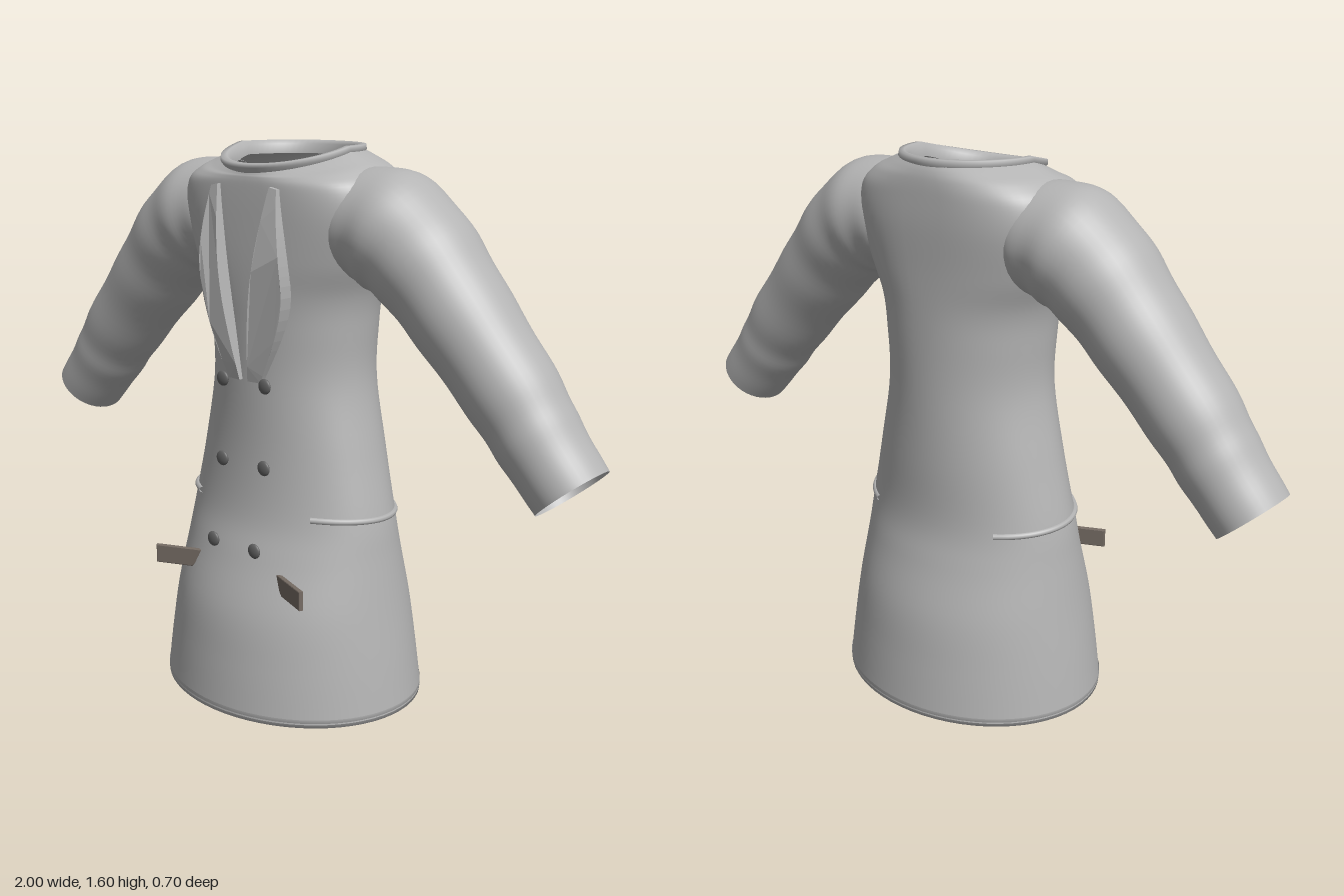
import * as THREE from 'three';

const SEG = 64;

// Catmull-Rom sampling of a table of section rows
function sample(rows, count) {
  const out = [];
  for (let k = 0; k <= count; k++) {
    const f = (k / count) * (rows.length - 1);
    const i = Math.min(Math.floor(f), rows.length - 2), t = f - i;
    const [p, a, b, q] = [rows[Math.max(i - 1, 0)], rows[i], rows[i + 1], rows[Math.min(i + 2, rows.length - 1)]];
    out.push(a.map((v, c) => 0.5 * (2 * v + (b[c] - p[c]) * t
      + (2 * p[c] - 5 * v + 4 * b[c] - q[c]) * t * t
      + (3 * v - p[c] - 3 * b[c] + q[c]) * t * t * t)));
  }
  return out;
}

// Skin a list of closed rings with smooth normals
function loft(rings, flip = false) {
  const n = rings[0].length, pos = [], index = [];
  rings.forEach(r => r.forEach(p => pos.push(p[0], p[1], p[2])));
  for (let j = 0; j < rings.length - 1; j++) {
    for (let i = 0; i < n; i++) {
      const a = j * n + i, b = j * n + (i + 1) % n, c = a + n, d = b + n;
      if (flip) index.push(a, b, c, b, d, c);
      else index.push(a, c, b, b, c, d);
    }
  }
  const g = new THREE.BufferGeometry();
  g.setAttribute('position', new THREE.Float32BufferAttribute(pos, 3));
  g.setIndex(index);
  g.computeVertexNormals();
  return g;
}

// Body section: height, half width, front depth, back depth, squareness, dip at the front
function bodyRing([y, w, zf, zb, n, dip]) {
  const pts = [];
  for (let i = 0; i < SEG; i++) {
    const a = (i / SEG) * Math.PI * 2, c = Math.cos(a), s = Math.sin(a);
    const x = w * Math.sign(c) * Math.abs(c) ** (2 / n);
    const z = (s > 0 ? zf : zb) * Math.sign(s) * Math.abs(s) ** (2 / n);
    pts.push([x, y - dip * Math.max(0, s), z]);
  }
  return pts;
}

const BODY = [
  [0.01, 0.413, 0.35, 0.347, 2, 0],
  [0.15, 0.395, 0.335, 0.33, 2, 0],
  [0.3, 0.373, 0.312, 0.308, 2, 0],
  [0.45, 0.352, 0.26, 0.265, 2, 0],
  [0.57, 0.335, 0.222, 0.238, 2, 0],
  [0.75, 0.293, 0.203, 0.235, 2, 0],
  [0.95, 0.251, 0.2, 0.232, 2, 0],
  [1.1, 0.252, 0.203, 0.23, 2.1, 0],
  [1.2, 0.265, 0.206, 0.228, 2.2, 0],
  [1.3, 0.3, 0.206, 0.226, 2.5, 0],
  [1.42, 0.33, 0.202, 0.225, 2.8, 0],
  [1.5, 0.322, 0.198, 0.22, 2.8, 0.005],
  [1.545, 0.285, 0.195, 0.215, 2.5, 0.025],
  [1.57, 0.24, 0.192, 0.208, 2.2, 0.042],
  [1.588, 0.2, 0.188, 0.198, 2, 0.05],
];

// Front surface depth of the body at x, y
function frontZ(x, y) {
  let i = 0;
  while (i < BODY.length - 2 && BODY[i + 1][0] < y) i++;
  const t = (y - BODY[i][0]) / (BODY[i + 1][0] - BODY[i][0]);
  const r = BODY[i].map((v, c) => v + (BODY[i + 1][c] - v) * t);
  return r[2] * Math.max(0, 1 - (Math.abs(x) / r[1]) ** r[4]) ** (1 / r[4]);
}

// Sleeve section: centre x, centre y, half height, half depth, tilt
const SLEEVE = [
  [0.24, 1.395, 0.15, 0.165, 0],
  [0.34, 1.385, 0.166, 0.176, 0.3],
  [0.45, 1.31, 0.152, 0.166, 0.7],
  [0.58, 1.17, 0.136, 0.148, 0.85],
  [0.74, 0.99, 0.124, 0.132, 0.89],
  [0.83, 0.875, 0.113, 0.122, 0.87],
  [0.92, 0.77, 0.106, 0.114, 0.85],
];

function sleeveGeometry(side) {
  const rings = sample(SLEEVE, 48).map(([cx, cy, h, d, tilt], k) => {
    const fold = 1 + 0.012 * Math.sin(k * 0.85) * Math.min(1, (48 - k) / 10);
    const pts = [];
    for (let i = 0; i < 40; i++) {
      const a = (i / 40) * Math.PI * 2, u = h * fold * Math.cos(a);
      pts.push([side * (cx + u * Math.sin(tilt)), cy + u * Math.cos(tilt), d * fold * Math.sin(a) - 0.015]);
    }
    return pts;
  });
  return loft(rings, side > 0);
}

// Lapel plate bent onto the chest, thickest in the middle
function lapelGeometry(side) {
  const s = new THREE.Shape();
  s.moveTo(side * 0.015, 0.96);
  s.lineTo(side * 0.06, 0.96);
  s.bezierCurveTo(side * 0.09, 1.03, side * 0.15, 1.13, side * 0.15, 1.24);
  s.bezierCurveTo(side * 0.15, 1.33, side * 0.13, 1.42, side * 0.12, 1.495);
  s.lineTo(side * 0.095, 1.5);
  for (let i = 1; i < 12; i++) s.lineTo(side * (0.095 - 0.08 * i / 12), 1.5 - 0.54 * i / 12);
  const g = new THREE.ExtrudeGeometry(s, { depth: 1, bevelEnabled: false, curveSegments: 10 });
  const p = g.attributes.position;
  for (let i = 0; i < p.count; i++) {
    const x = p.getX(i), y = p.getY(i);
    const lift = 0.012 + 0.03 * Math.sin(Math.PI * (y - 0.96) / 0.54);
    p.setZ(i, frontZ(x, y) - 0.01 + p.getZ(i) * (0.01 + lift));
  }
  g.computeVertexNormals();
  return g;
}

export function createModel() {
  const cloth = new THREE.MeshStandardMaterial({ color: 0xb4b4b4, side: THREE.DoubleSide });
  cloth.name = 'grey cloth';
  const buttonMat = new THREE.MeshStandardMaterial({ color: 0x636363 });
  buttonMat.name = 'dark grey button';
  const flapMat = new THREE.MeshStandardMaterial({ color: 0x766c64 });
  flapMat.name = 'brown flap';

  const model = new THREE.Group();
  model.name = 'coat';
  const add = (name, geometry, material) => {
    const m = new THREE.Mesh(geometry, material);
    m.name = name;
    model.add(m);
    return m;
  };

  // Body and folded hem
  add('body', loft(sample(BODY, 84).map(bodyRing)), cloth);
  add('hem', loft([
    [0.1, 0.385, 0.325, 0.322, 2, 0],
    [0.004, 0.398, 0.335, 0.332, 2, 0],
    [0, 0.412, 0.349, 0.346, 2, 0],
    [0.025, 0.413, 0.35, 0.347, 2, 0],
  ].map(bodyRing), true), cloth);

  // Collar band
  add('collar', loft([
    [1.578, 0.196, 0.188, 0.2, 2, 0.05],
    [1.588, 0.206, 0.201, 0.206, 2, 0.042],
    [1.602, 0.204, 0.2, 0.203, 2, 0.045],
    [1.603, 0.188, 0.182, 0.19, 2, 0.045],
    [1.592, 0.172, 0.168, 0.18, 2, 0.045],
    [1.565, 0.17, 0.166, 0.178, 2, 0.045],
  ].map(bodyRing)), cloth);

  for (const side of [1, -1]) {
    const label = side > 0 ? 'left' : 'right';
    add(label + 'Sleeve', sleeveGeometry(side), cloth);
    add(label + 'Lapel', lapelGeometry(side), cloth);

    // Waist welt around the side
    const path = [];
    for (let i = 0; i <= 12; i++) {
      const a = 0.88 - 1.75 * i / 12, s = Math.sin(a);
      path.push(new THREE.Vector3(side * 0.334 * Math.cos(a), 0.573 + 0.014 * s, (s > 0 ? 0.222 : 0.238) * s));
    }
    add(label + 'WaistWelt', new THREE.TubeGeometry(new THREE.CatmullRomCurve3(path), 32, 0.009, 8), cloth);

    // Double-breasted buttons
    [[0.955, 0.212], [0.72, 0.218], [0.485, 0.26]].forEach(([y, z], i) => {
      const b = add(label + 'Button' + (i + 1), new THREE.SphereGeometry(0.022, 20, 12), buttonMat);
      b.scale.z = 0.4;
      b.position.set(side * 0.08, y, z);
    });

    // Pocket flap standing off the skirt
    const f = new THREE.Shape();
    [[0, 0.025], [0.14, 0.025], [0.14, -0.025], [0.03, -0.025], [0.015, -0.012]]
      .forEach(([x, y], i) => (i ? f.lineTo(side * x, y) : f.moveTo(side * x, y)));
    const flap = add(label + 'PocketFlap', new THREE.ExtrudeGeometry(f, {
      depth: 0.008, bevelThickness: 0.003, bevelSize: 0.003, bevelSegments: 2,
    }), flapMat);
    flap.position.set(side * 0.155, 0.4, 0.234);
    flap.rotation.y = -side * 0.4;
  }
  return model;
}
